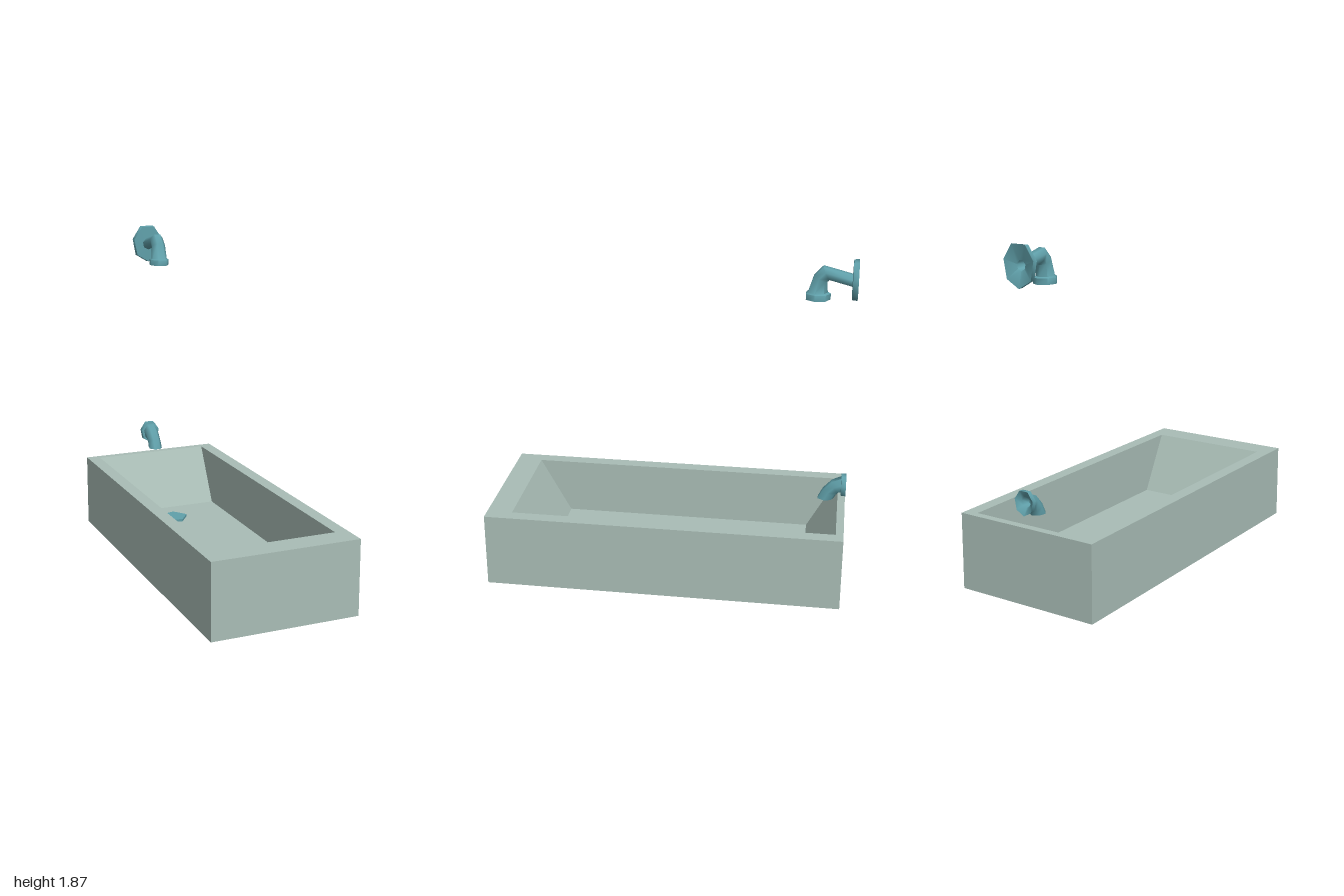
import * as THREE from 'three';
import { toCreasedNormals } from 'three/addons/utils/BufferGeometryUtils.js';

// Skins a list of equal-sized point loops and caps both ends
function loft(rings, crease) {
  const pos = [];
  const tri = (...pts) => pts.forEach((p) => pos.push(...p));
  const n = rings[0].length;
  for (let i = 0; i < rings.length - 1; i++) {
    for (let j = 0; j < n; j++) {
      const k = (j + 1) % n;
      const a = rings[i][j], b = rings[i][k], c = rings[i + 1][k], d = rings[i + 1][j];
      tri(a, b, c);
      tri(a, c, d);
    }
  }
  const first = rings[0], last = rings[rings.length - 1];
  for (let j = 1; j < n - 1; j++) {
    tri(first[0], first[j + 1], first[j]);
    tri(last[0], last[j], last[j + 1]);
  }
  const geo = new THREE.BufferGeometry();
  geo.setAttribute('position', new THREE.Float32BufferAttribute(pos, 3));
  return toCreasedNormals(geo, crease);
}

// Horizontal rectangle
const rect = (y, x, z0, z1) => [[x, y, z1], [x, y, z0], [-x, y, z0], [-x, y, z1]];

// Seven-sided pipe section: z,y of its upper/outer edge, z,y of its lower/inner corner, half width
function heptagon([tz, ty, bz, by, w]) {
  const uz = (tz - bz) / 1.901, uy = (ty - by) / 1.901;
  return Array.from({ length: 7 }, (_, j) => {
    const a = -Math.PI / 2 + (j * Math.PI * 2) / 7;
    const s = Math.sin(a) + 1;
    return [(Math.cos(a) * w) / 0.975, by + uy * s, bz + uz * s];
  });
}

export function createModel() {
  const model = new THREE.Group();
  const stone = new THREE.MeshStandardMaterial({ name: 'pale grey green', color: 0xa9bdb6 });
  const metal = new THREE.MeshStandardMaterial({ name: 'teal metal', color: 0x60a0aa });

  const add = (name, geometry, material) => {
    const mesh = new THREE.Mesh(geometry, material);
    mesh.name = name;
    model.add(mesh);
    return mesh;
  };

  // Tub: outer walls, flat rim, basin with sloping ends
  add('tub', loft([
    rect(0, 0.42, -1, 1),
    rect(0.425, 0.42, -1, 1),
    rect(0.425, 0.347, -0.957, 0.857),
    rect(0.1, 0.347, -0.78, 0.68),
  ], 0.1), stone);

  // Five-sided drain plate on the basin floor
  const drain = add('drain', new THREE.CylinderGeometry(0.085, 0.085, 0.016, 5).toNonIndexed(), metal);
  drain.geometry.computeVertexNormals();
  drain.rotation.y = Math.PI / 2 - Math.PI * 2;
  drain.position.set(0, 0.106, -0.57);

  // Shower head: hollow wall flange, rising arm, bend, flared outlet with a recess
  add('showerHead', loft([
    [-0.9, 1.79, -0.9, 1.75, 0.018],
    [-0.978, 1.787, -0.978, 1.735, 0.026],
    [-1, 1.87, -1, 1.65, 0.092],
    [-0.97, 1.865, -0.97, 1.653, 0.09],
    [-0.968, 1.795, -0.968, 1.727, 0.036],
    [-0.813, 1.834, -0.848, 1.758, 0.04],
    [-0.765, 1.782, -0.836, 1.748, 0.041],
    [-0.738, 1.692, -0.841, 1.69, 0.046],
    [-0.727, 1.685, -0.858, 1.685, 0.056],
    [-0.727, 1.652, -0.857, 1.652, 0.056],
    [-0.738, 1.652, -0.846, 1.652, 0.046],
    [-0.75, 1.67, -0.836, 1.67, 0.037],
  ].map(heptagon), 1.12), metal);

  // Tub spout: hollow wall flange and a short curved pipe
  add('spout', loft([
    [-0.94, 0.565, -0.94, 0.535, 0.015],
    [-0.978, 0.585, -0.978, 0.525, 0.028],
    [-1, 0.62, -1, 0.487, 0.058],
    [-0.973, 0.618, -0.973, 0.489, 0.057],
    [-0.972, 0.604, -0.972, 0.51, 0.043],
    [-0.92, 0.58, -0.958, 0.507, 0.04],
    [-0.872, 0.527, -0.945, 0.492, 0.039],
    [-0.845, 0.473, -0.935, 0.473, 0.041],
  ].map(heptagon), 1.12), metal);

  return model;
}
